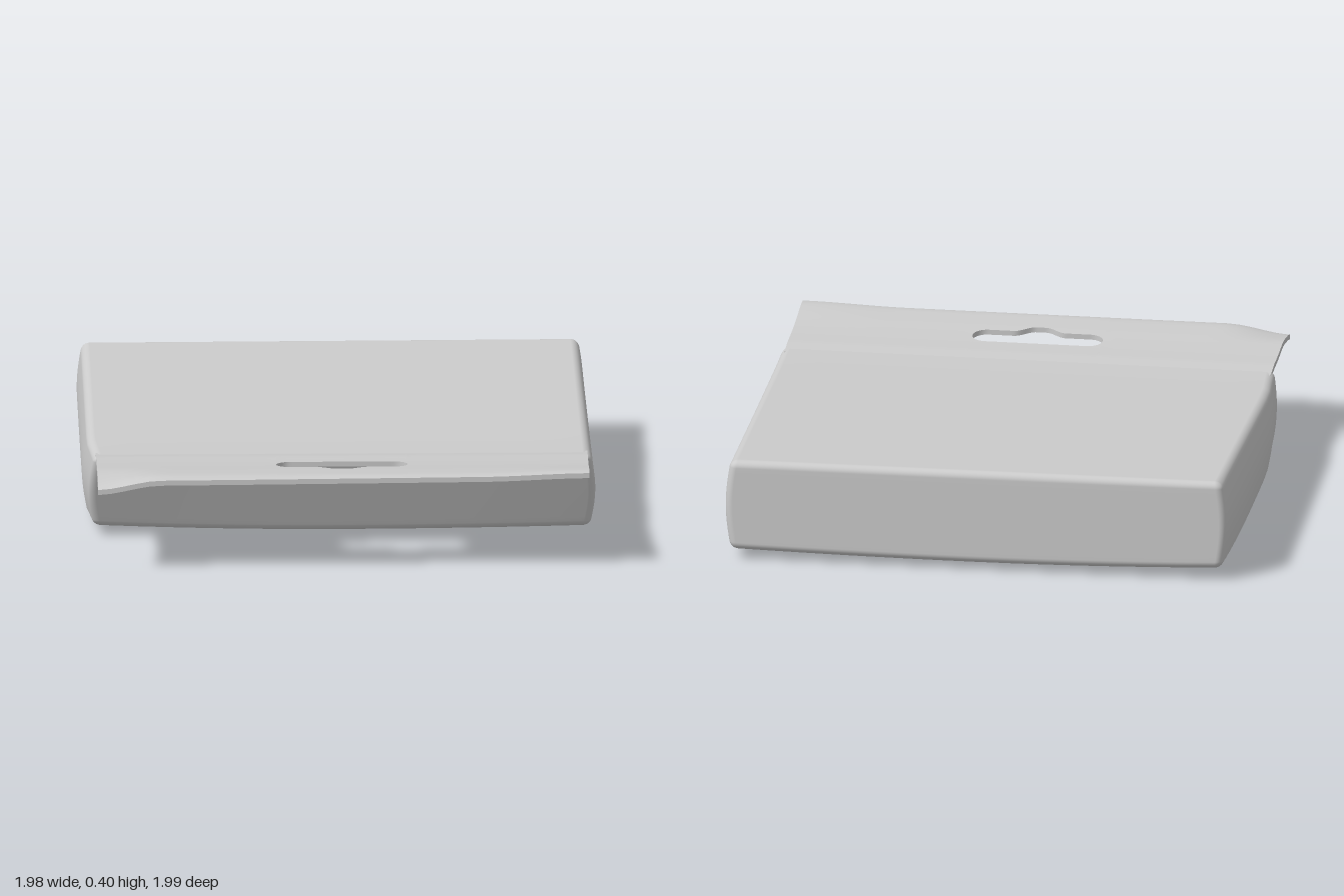
import * as THREE from 'three';
import { mergeVertices, toCreasedNormals } from 'three/addons/utils/BufferGeometryUtils.js';

const { lerp, smoothstep, clamp } = THREE.MathUtils;
const material = new THREE.MeshStandardMaterial({ color: 0xcccccc });

// Soft carton: a subdivided cube, rounded at the edges, then warped to shape
function bodyGeometry() {
  const N = 22, K = 4;
  const half = [0.98, 0.19, 0.76], r = 0.03;
  let geo = new THREE.BoxGeometry(2, 2, 2, N, N, N);
  const pos = geo.attributes.position;

  // Puts K of the divisions inside each rounded edge
  const stop = (c, h) => {
    const i = Math.round((Math.abs(c) * N) / 2), inner = N / 2 - K;
    const d = i <= inner ? (i / inner) * (h - r) : h - r + r * Math.tan(((i - inner) / K) * Math.PI / 4);
    return Math.sign(c) * d;
  };

  for (let i = 0; i < pos.count; i++) {
    const p = new THREE.Vector3().fromBufferAttribute(pos, i);
    p.set(stop(p.x, half[0]), stop(p.y, half[1]), stop(p.z, half[2]));
    const core = new THREE.Vector3(...half.map((h, k) => clamp(p.getComponent(k), r - h, h - r)));
    p.sub(core).setLength(r).add(core);

    const u = p.x / half[0], v = (p.y / half[1] + 1) / 2, w = (p.z / half[2] + 1) / 2;
    // sloping front panel, slightly skewed back
    const z = lerp(-0.985 - 0.01 * u, lerp(0.42, 0.555, v), w);
    // top falls towards the front, bottom sags in the middle
    const top = lerp(0.405, 0.354, smoothstep(w, -0.3, 1.05) * 0.4 + Math.min(w / 0.88, 1) * 0.6);
    const sag = w > 0.45 ? 0.02 * ((w - 0.45) / 0.55) ** 2 : 0.03 * ((0.45 - w) / 0.45) ** 2;
    const bottom = sag + (u < 0 ? 0.022 : 0.012) * u * u;
    // sides bulge at mid height
    const bulge = 0.02 * Math.sin(Math.PI * clamp(v, 0, 1));
    const side = u < 0
      ? 0.972 + bulge - 0.02 * smoothstep(w, 0.8, 1)
      : 0.95 + bulge + 0.022 * w;
    pos.setXYZ(i, u * side, lerp(bottom, top, v), z);
  }
  geo.deleteAttribute('uv');
  geo.deleteAttribute('normal');
  geo = mergeVertices(geo, 1e-5);
  geo.computeVertexNormals();
  return geo;
}

// Hanging slot: back and front limits of the hole at a given x
const SLOT = { left: -0.25, right: 0.26, z: 0.733, r: 0.055 };
function slotAt(x) {
  const d = Math.min(x - SLOT.left, SLOT.right - x);
  if (d <= 1e-6) return [SLOT.z, SLOT.z];
  const e = Math.max(SLOT.r - d, 0);
  const h = Math.sqrt(SLOT.r ** 2 - e ** 2);
  const notch = 0.043 * (1 - smoothstep(Math.abs(x - 0.005), 0.02, 0.1));
  return [SLOT.z - h, SLOT.z + h + notch];
}

// Height of the tab: rises to the lip, with one corner curled down
function tabTop(x, z) {
  const rise = 0.352 + 0.012 * smoothstep(z, 0.48, 0.6) + 0.027 * smoothstep(z, 0.6, 1.0);
  const curl = 0.035 * (1 - smoothstep(x, -0.95, -0.7)) * smoothstep(z, 0.78, 1.0);
  const lift = 0.01 * smoothstep(x, 0.55, 0.95) * smoothstep(z, 0.75, 0.95);
  const lip = 0.012 * smoothstep(z, 0.95, 1.0);
  return rise - curl + lift - lip;
}

// Lofts a thin strip across x; range(x) gives its back and front z.
// slotEdge is 'front' or 'back': the wall shown only beside the slot.
function stripGeometry(columns, range, slotEdge) {
  const S = 10, n = 2 * (S + 1), points = [], index = [];
  for (const x of columns) {
    const [z0, z1] = range(x);
    for (let j = 0; j < n; j++) {
      const upper = j <= S;
      const z = lerp(z0, z1, (upper ? j : n - 1 - j) / S);
      points.push(x, tabTop(x, z) - (upper ? 0 : 0.02), z);
    }
  }
  const skipped = slotEdge === 'front' ? S : n - 1;
  for (let i = 0; i < columns.length - 1; i++) {
    const mid = (columns[i] + columns[i + 1]) / 2;
    const open = mid > SLOT.left && mid < SLOT.right;
    for (let j = 0; j < n; j++) {
      if (j === skipped && !open) continue;
      const a = i * n + j, b = i * n + ((j + 1) % n);
      index.push(a, b, a + n, b, b + n, a + n);
    }
  }
  // side edges
  const last = (columns.length - 1) * n;
  for (let j = 0; j < S; j++) {
    const k = n - 1 - j;
    index.push(j, k, j + 1, j + 1, k, k - 1);
    index.push(last + j, last + j + 1, last + k, last + j + 1, last + k - 1, last + k);
  }
  const geo = new THREE.BufferGeometry();
  geo.setAttribute('position', new THREE.Float32BufferAttribute(points, 3));
  geo.setIndex(index);
  return toCreasedNormals(geo, 0.9);
}

export function createModel() {
  const model = new THREE.Group();
  model.name = 'hangingCarton';

  const add = (parent, name, geometry) => {
    const mesh = new THREE.Mesh(geometry, material);
    mesh.name = name;
    parent.add(mesh);
  };
  add(model, 'cartonBody', bodyGeometry());

  // Columns across the tab, closer together at the slot's rounded ends
  const xs = [];
  const span = (a, b, count, ease = (t) => t) => {
    for (let i = 0; i < count; i++) xs.push(lerp(a, b, ease(i / count)));
  };
  const { left, right, r } = SLOT;
  span(-0.945, left, 14);
  span(left, left + r, 8, (t) => 1 - Math.cos((t * Math.PI) / 2));
  span(left + r, right - r, 32);
  span(right - r, right, 8, (t) => Math.sin((t * Math.PI) / 2));
  span(right, 0.96, 14);
  xs.push(0.96);

  const tab = new THREE.Group();
  tab.name = 'hangTab';
  add(tab, 'tabBehindSlot', stripGeometry(xs, (x) => [0.48, slotAt(x)[0]], 'front'));
  add(tab, 'tabBeforeSlot', stripGeometry(xs, (x) => [slotAt(x)[1], 0.983 - 0.013 * x], 'back'));
  model.add(tab);
  return model;
}
